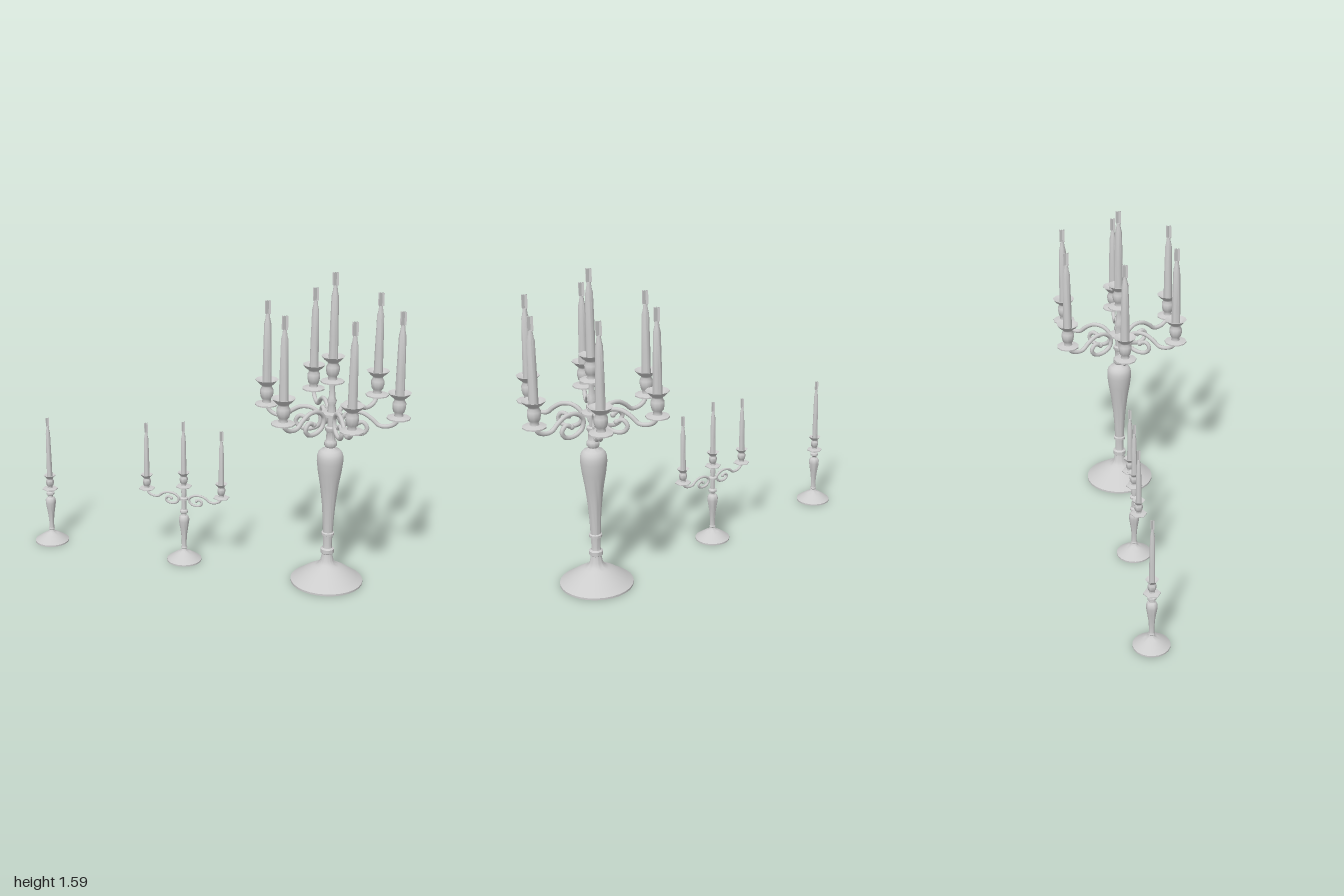
import * as THREE from 'three';
import { toCreasedNormals } from 'three/addons/utils/BufferGeometryUtils.js';

const metal = new THREE.MeshStandardMaterial({ color: 0xcccccc, side: THREE.DoubleSide });
metal.name = 'light grey';

// Turned part from [radius, height] pairs, bottom to top
function turned(name, profile, sides, crease = 0.75) {
  const pts = profile.map(([r, y]) => new THREE.Vector2(r, y));
  const mesh = new THREE.Mesh(toCreasedNormals(new THREE.LatheGeometry(pts, sides), crease), metal);
  mesh.name = name;
  return mesh;
}

// Drip plate, cup, dish, candle and flame, standing on y = 0
function holder({ plate, cup, dish, dishY, candle, top, flame, sides }) {
  const g = new THREE.Group();
  g.name = 'candleHolder';
  const h = dishY;
  g.add(turned('cup', [
    [0, -0.03 * h], [plate * 0.5, -0.03 * h], [plate, 0], [plate, 0.05 * h], [cup * 0.7, 0.1 * h],
    [cup * 0.6, 0.2 * h], [cup * 0.85, 0.28 * h], [cup, 0.45 * h], [cup, 0.6 * h], [cup * 0.75, 0.72 * h],
    [cup * 0.85, 0.78 * h], [dish * 0.7, 0.85 * h], [dish, h], [dish * 0.94, h],
    [dish * 0.5, 0.82 * h], [0, 0.82 * h],
  ], sides, 1.1));
  const tip = top - dishY;
  g.add(turned('candle', [
    [candle, 0.82 * h], [candle * 0.95, h + tip * 0.3], [candle * 0.78, h + tip * 0.85],
    [candle * 0.55, h + tip * 0.92], [candle * 0.4, top], [0, top],
  ], 12));
  // Flame of crossed upright plates
  for (let i = 0; i < 3; i++) {
    const p = new THREE.Mesh(new THREE.PlaneGeometry(candle * 1.35, flame), metal);
    p.position.y = top + flame / 2;
    p.rotation.y = i * Math.PI / 3;
    p.name = 'flame';
    g.add(p);
  }
  return g;
}

// Scrolled arm in the xy plane, pointing along +x
function scrollArm(points, radius) {
  const curve = new THREE.CatmullRomCurve3(points.map(([x, y]) => new THREE.Vector3(x, y, 0)));
  const arm = new THREE.Mesh(new THREE.TubeGeometry(curve, 48, radius, 8), metal);
  arm.name = 'scrollArm';
  const tip = new THREE.Mesh(new THREE.SphereGeometry(radius * 1.3, 8, 6), metal);
  tip.position.copy(curve.getPoint(1));
  tip.name = 'scrollEnd';
  const g = new THREE.Group();
  g.add(arm, tip);
  return g;
}

function largeCandelabra() {
  const g = new THREE.Group();
  g.name = 'largeCandelabra';
  g.add(turned('baseAndStem', [
    [0, 0], [0.182, 0], [0.182, 0.01], [0.15, 0.031], [0.11, 0.06], [0.075, 0.08], [0.06, 0.087],
    [0.042, 0.098], [0.032, 0.118], [0.026, 0.152], [0.034, 0.158], [0.034, 0.178], [0.024, 0.184],
    [0.022, 0.2], [0.024, 0.25], [0.032, 0.254], [0.032, 0.266], [0.025, 0.27],
    [0.028, 0.34], [0.034, 0.42], [0.046, 0.52], [0.058, 0.59], [0.065, 0.645], [0.065, 0.672],
    [0.06, 0.692], [0.048, 0.706], [0.03, 0.714], [0.024, 0.722], [0.031, 0.732], [0.031, 0.75],
    [0.023, 0.76], [0.022, 0.8], [0.029, 0.81], [0.029, 0.825], [0.018, 0.83], [0.018, 0.885],
    [0.052, 0.888], [0.052, 0.9], [0.022, 0.904], [0.018, 0.94], [0.024, 0.96], [0.016, 0.98],
    [0.013, 1.03], [0.016, 1.055],
  ], 28));
  const size = { plate: 0.058, cup: 0.033, dish: 0.058, dishY: 0.13, candle: 0.023, sides: 10 };
  const middle = holder({ ...size, top: 0.475, flame: 0.062 });
  middle.position.y = 1.055;
  g.add(middle);
  const path = [[0.326, 0.905], [0.313, 0.878], [0.28, 0.86], [0.235, 0.86], [0.198, 0.89], [0.151, 0.915],
    [0.093, 0.912], [0.054, 0.876], [0.062, 0.83], [0.107, 0.805], [0.158, 0.81], [0.178, 0.84],
    [0.155, 0.868], [0.122, 0.855]];
  for (let i = 0; i < 6; i++) {
    const branch = new THREE.Group();
    branch.name = 'branch';
    const h = holder({ ...size, top: 0.46, flame: 0.065 });
    h.position.set(0.328, 0.905, 0);
    branch.add(scrollArm(path, 0.011), h);
    branch.rotation.y = i * Math.PI / 3;
    branch.position.y = i % 3 ? 0.01 : 0;
    g.add(branch);
  }
  return g;
}

// Base and vase stem shared by the two small pieces
const smallStem = [
  [0, 0], [0.09, 0], [0.09, 0.008], [0.07, 0.022], [0.045, 0.039], [0.03, 0.048], [0.018, 0.054],
  [0.013, 0.065], [0.017, 0.07], [0.013, 0.078], [0.013, 0.11], [0.016, 0.15], [0.022, 0.19], [0.027, 0.222],
  [0.027, 0.236], [0.022, 0.249], [0.013, 0.255], [0.012, 0.262], [0.021, 0.27], [0.021, 0.28], [0.013, 0.287],
];
const smallSize = { plate: 0.042, cup: 0.021, dish: 0.033, dishY: 0.079, candle: 0.0145, sides: 6 };

function smallCandelabra() {
  const g = new THREE.Group();
  g.name = 'smallCandelabra';
  g.add(turned('baseAndStem', [...smallStem, [0.012, 0.335], [0.022, 0.34], [0.022, 0.35], [0.012, 0.356],
    [0.014, 0.385], [0.01, 0.41]], 20));
  const middle = holder({ ...smallSize, top: 0.302, flame: 0.05 });
  middle.position.y = 0.412;
  g.add(middle);
  const path = [[0.203, 0.376], [0.195, 0.355], [0.17, 0.342], [0.14, 0.343], [0.118, 0.36], [0.088, 0.37],
    [0.052, 0.366], [0.028, 0.346], [0.036, 0.323], [0.06, 0.313], [0.088, 0.317], [0.099, 0.334],
    [0.083, 0.347], [0.068, 0.339]];
  for (let i = 0; i < 2; i++) {
    const branch = new THREE.Group();
    branch.name = 'branch';
    const h = holder({ ...smallSize, top: 0.31, flame: 0.05 });
    h.position.set(0.203, 0.375, 0);
    branch.add(scrollArm(path, 0.0065), h);
    branch.rotation.y = i * Math.PI;
    g.add(branch);
  }
  return g;
}

function candlestick() {
  const g = new THREE.Group();
  g.name = 'candlestick';
  g.add(turned('baseAndStem', [...smallStem, [0.012, 0.3]], 20));
  const h = holder({ ...smallSize, top: 0.355, flame: 0.045 });
  h.position.y = 0.3;
  g.add(h);
  return g;
}

export function createModel() {
  const model = new THREE.Group();
  model.name = 'candleHolderSet';
  const pieces = [[candlestick(), -0.91], [smallCandelabra(), -0.152], [largeCandelabra(), 0.612]];
  for (const [piece, x] of pieces) {
    piece.position.x = x;
    model.add(piece);
  }
  return model;
}
